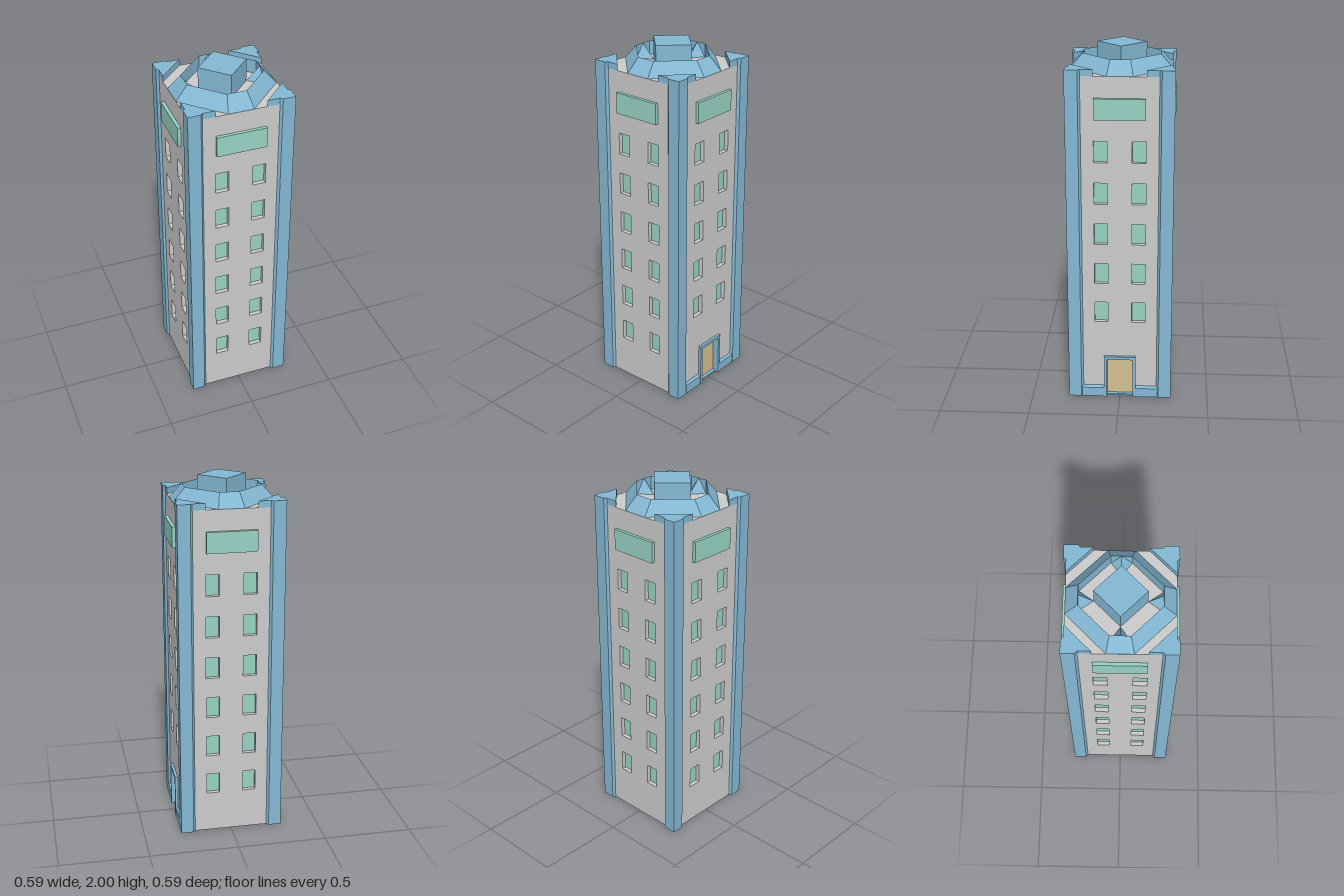
import * as THREE from 'three';

const mat = (color) => new THREE.MeshStandardMaterial({ color, flatShading: true });
const GREY = mat(0xcccccc);
const BLUE = mat(0x84b8d4);
const GLASS = mat(0x97d2c4);
const TAN = mat(0xd2c092);

const W = 0.277;      // half width of the walls
const ROOF = 1.87;    // roof level
const CAP = 1.905;    // top of the corner pillars
const RIM = 1.945;    // top of the roof ring
const RECESS = 0.024; // window depth

function add(parent, name, geometry, material, x = 0, y = 0, z = 0) {
  const mesh = new THREE.Mesh(geometry, material);
  mesh.name = name;
  mesh.position.set(x, y, z);
  parent.add(mesh);
  return mesh;
}

const box = (w, h, d) => new THREE.BoxGeometry(w, h, d);
const shapeOf = (pts) => new THREE.Shape(pts.map(([x, y]) => new THREE.Vector2(x, y)));
const extrude = (shape, depth) => new THREE.ExtrudeGeometry(shape, { depth, bevelEnabled: false });

// Flat-sided surface from loops of points, joined in order
function loft(loops) {
  const pos = [];
  for (let k = 0; k + 1 < loops.length; k++) {
    const a = loops[k], b = loops[k + 1], n = a.length;
    for (let i = 0; i < n; i++) {
      const j = (i + 1) % n;
      pos.push(...a[i], ...b[i], ...b[j], ...a[i], ...b[j], ...a[j]);
    }
  }
  return fromPositions(pos);
}

function fromPositions(pos) {
  const g = new THREE.BufferGeometry();
  g.setAttribute('position', new THREE.Float32BufferAttribute(pos, 3));
  g.computeVertexNormals();
  return g;
}

// One facade, built facing +z
function createFacade(hasDoor) {
  const side = new THREE.Group();
  side.name = hasDoor ? 'doorFacade' : 'facade';
  const outline = [[-W, 0.002]];
  if (hasDoor) outline.push([-0.08, 0.002], [-0.08, 0.245], [0.08, 0.245], [0.08, 0.002]);
  outline.push([W, 0.002], [W, ROOF], [-W, ROOF]);
  const wall = shapeOf(outline);

  // Recessed windows in two columns
  for (let row = hasDoor ? 1 : 0; row < 6; row++) {
    const y = 0.295 + row * 0.2333;
    for (const x of [-0.103, 0.103]) {
      const hw = 0.037, hh = 0.06;
      wall.holes.push(new THREE.Path([[-hw, -hh], [-hw, hh], [hw, hh], [hw, -hh]]
        .map(([dx, dy]) => new THREE.Vector2(x + dx, y + dy))));
      add(side, 'window', box(0.09, 0.135, 0.01), GLASS, x, y, W - RECESS - 0.005);
    }
  }
  add(side, 'wall', extrude(wall, RECESS), GREY, 0, 0, W - RECESS);
  add(side, 'signPanel', box(0.275, 0.115, 0.02), GLASS, 0, 1.697, 0.285);

  if (hasDoor) {
    const frame = shapeOf([[-0.09, 0], [-0.073, 0], [-0.073, 0.237], [0.073, 0.237],
      [0.073, 0], [0.09, 0], [0.09, 0.255], [-0.09, 0.255]]);
    add(side, 'doorFrame', extrude(frame, 0.043), BLUE, 0, 0, 0.25);
    add(side, 'door', box(0.16, 0.24, 0.01), TAN, 0, 0.122, 0.25);
    // Plinth with a sloped top edge on both sides of the door
    const profile = shapeOf([[0.26, 0], [0.289, 0], [0.289, 0.054], [W, 0.066], [0.26, 0.066]]);
    for (const x of [-0.085, 0.215]) {
      add(side, 'plinth', extrude(profile, 0.13), BLUE, x, 0, 0).rotation.y = -Math.PI / 2;
    }
  }
  return side;
}

export function createModel() {
  const model = new THREE.Group();
  model.name = 'tower';

  add(model, 'base', box(2 * W - 0.004, 0.01, 2 * W - 0.004), BLUE, 0, 0.005, 0);
  add(model, 'roof', box(0.51, 0.02, 0.51), GREY, 0, ROOF - 0.01, 0);

  // Corner pillar plan and triangular cap
  const pillar = extrude(shapeOf([[0.29, 0.29], [0.22, 0.29], [0.208, W], [0.208, 0.26],
    [0.26, 0.208], [W, 0.208], [0.29, 0.22]]), CAP).rotateX(-Math.PI / 2);
  const cap = extrude(shapeOf([[W, W], [0.14, W], [W, 0.14]]), CAP - ROOF).rotateX(-Math.PI / 2);

  // Half pyramid leaning on the inside of the roof ring
  const A = [-0.053, ROOF, 0.21], B = [0.053, ROOF, 0.21];
  const C = [0, ROOF, 0.135], M = [0, RIM, 0.21];
  const buttress = fromPositions([...A, ...M, ...C, ...C, ...M, ...B]);

  for (let i = 0; i < 4; i++) {
    const quarter = new THREE.Group();
    quarter.name = 'side';
    quarter.rotation.y = i * Math.PI / 2;
    quarter.add(createFacade(i === 1));
    add(quarter, 'cornerPillar', pillar, BLUE);
    add(quarter, 'cornerCap', cap, BLUE, 0, ROOF, 0);
    add(quarter, 'roofButtress', buttress, BLUE);
    model.add(quarter);
  }

  // Octagonal roof ring: sloped outside, upright inside
  const octagon = (a, b, y) => [[a, -b], [a, b], [b, a], [-b, a], [-a, b], [-a, -b], [-b, -a], [b, -a]]
    .map(([x, z]) => [x, y, z]);
  add(model, 'roofRing', loft([octagon(0.276, 0.07, ROOF), octagon(0.21, 0.053, RIM),
    octagon(0.209, 0.053, ROOF)]), BLUE);

  // Diamond-set block in the middle of the roof
  add(model, 'roofBlock', box(0.189, 2 - ROOF, 0.189), BLUE, 0, (2 + ROOF) / 2, 0).rotation.y = Math.PI / 4;

  return model;
}
